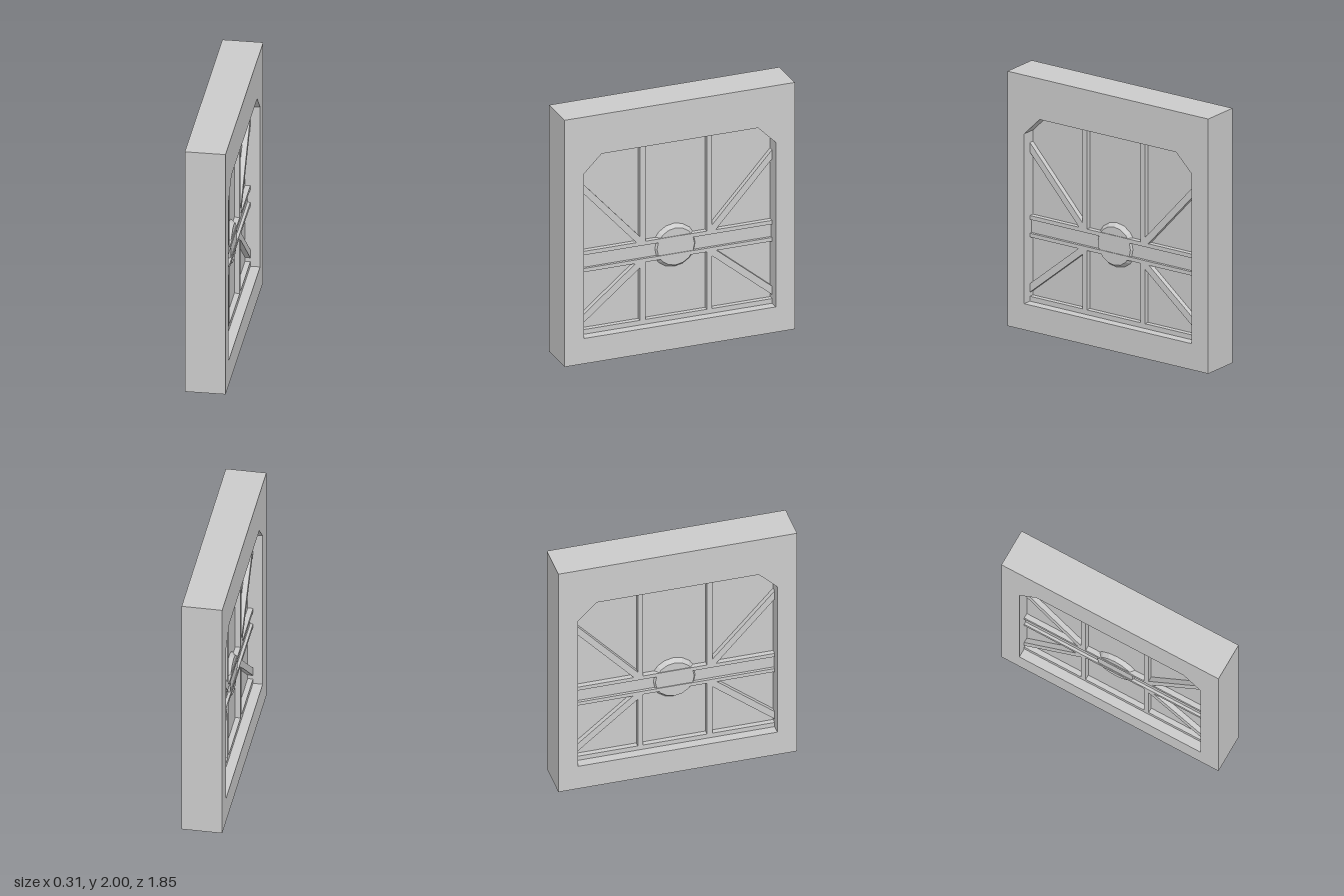
import * as THREE from 'three';

const material = new THREE.MeshStandardMaterial({ color: 0xcccccc, flatShading: true });

// Half depths along x, from the frame face inwards
const FRAME = 0.153, RIB = 0.08, HUB = 0.074, BAND = 0.058, PANEL = 0.04;

const toPoints = (list) => list.map(([u, y]) => new THREE.Vector2(u, y));

// Extrudes a (z, y) outline symmetrically along x
function slab(name, outline, half, hole) {
  const shape = new THREE.Shape(toPoints(outline));
  if (hole) shape.holes.push(new THREE.Path(toPoints(hole)));
  const geometry = new THREE.ExtrudeGeometry(shape, { depth: half * 2, bevelEnabled: false });
  geometry.translate(0, 0, -half);
  geometry.rotateY(-Math.PI / 2);
  const mesh = new THREE.Mesh(geometry, material);
  mesh.name = name;
  return mesh;
}

const rect = (z0, z1, y0, y1) => [[z0, y0], [z1, y0], [z1, y1], [z0, y1]];

export function createModel() {
  const model = new THREE.Group();
  model.name = 'doorPanel';

  // Outer frame around an opening with clipped top corners
  const opening = [[-0.77, 0.205], [0.77, 0.205], [0.77, 1.538], [0.627, 1.68], [-0.627, 1.68], [-0.77, 1.538]];
  model.add(slab('frame', rect(-0.923, 0.923, 0, 2), FRAME, opening));
  model.add(slab('panel', opening, PANEL));

  // Horizontal rails, the middle pair joined by a recessed band
  model.add(slab('topRail', [[-0.655, 1.652], [0.655, 1.652], [0.627, 1.68], [-0.627, 1.68]], RIB));
  model.add(slab('bottomRail', rect(-0.77, 0.77, 0.205, 0.243), RIB));
  model.add(slab('upperMiddleRail', rect(-0.77, 0.77, 0.846, 0.877), RIB));
  model.add(slab('lowerMiddleRail', rect(-0.77, 0.77, 0.708, 0.738), RIB));
  model.add(slab('middleBand', rect(-0.77, 0.77, 0.738, 0.846), BAND));

  // Upright bars and diagonal braces, mirrored in z
  for (const s of [1, -1]) {
    const mirrored = (list) => list.map(([z, y]) => [z * s, y]);
    model.add(slab('lowerUpright', mirrored(rect(0.247, 0.288, 0.243, 0.708)), RIB));
    model.add(slab('upperUpright', mirrored(rect(0.247, 0.288, 0.877, 1.652)), RIB));
    model.add(slab('upperBrace',
      mirrored([[0.288, 0.877], [0.318, 0.877], [0.77, 1.376], [0.77, 1.45], [0.288, 0.92]]), RIB));
    model.add(slab('lowerBrace',
      mirrored([[0.288, 0.708], [0.288, 0.67], [0.77, 0.275], [0.77, 0.343], [0.325, 0.708]]), RIB));
  }

  // Tapered hub on each face, crossed by the middle rails
  const height = HUB - PANEL;
  for (const s of [1, -1]) {
    const hub = new THREE.Mesh(new THREE.CylinderGeometry(0.15, 0.175, height, 16), material);
    hub.name = 'hub';
    hub.geometry.rotateZ(-s * Math.PI / 2);
    hub.position.set(s * (PANEL + height / 2), 0.792, 0);
    model.add(hub);
  }
  return model;
}
